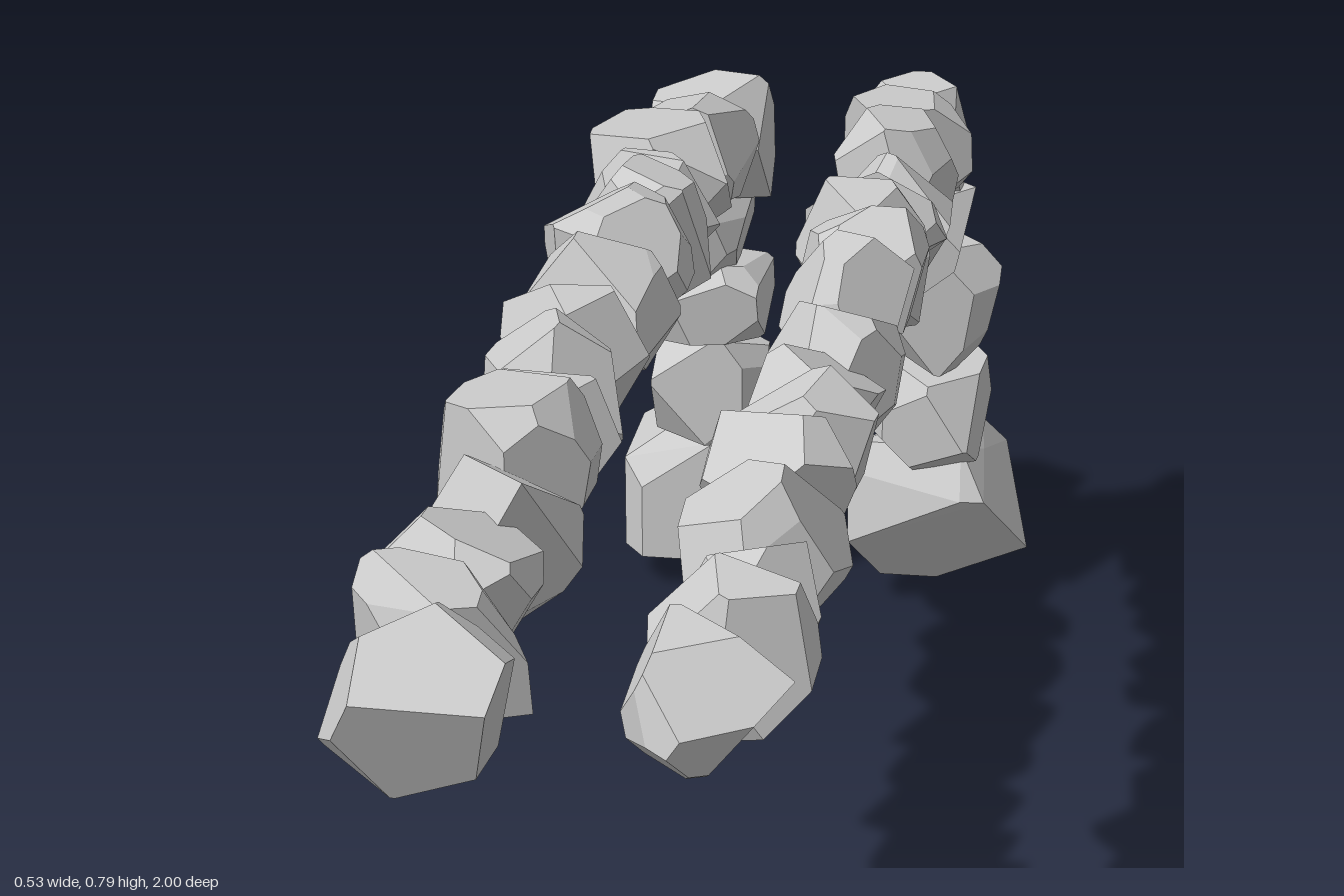
import * as THREE from 'three';
import { ConvexGeometry } from 'three/addons/geometries/ConvexGeometry.js';

const V = (x, y, z) => new THREE.Vector3(x, y, z);
const material = new THREE.MeshStandardMaterial({ color: 0xcccccc, flatShading: true });

let seed = 7;
function rand() {
  seed = (seed * 16807) % 2147483647;
  return seed / 2147483647;
}
const jitter = (a) => (rand() * 2 - 1) * a;

// Corners of a rock: a skewed cube with its corners and some edges cut off by planes
function rockCorners() {
  const planes = [];
  const cut = (x, y, z, wobble, d) => planes.push(
    new THREE.Plane(V(x + jitter(wobble), y + jitter(wobble), z + jitter(wobble)).normalize(), -d));
  for (const s of [-1, 1]) {
    cut(s, 0, 0, 0.2, 1);
    cut(0, s, 0, 0.2, 1);
    cut(0, 0, s, 0.2, 1);
    for (const t of [-1, 1]) {
      if (rand() < 0.25) cut(s, t, 0, 0.25, 1.12);
      if (rand() < 0.25) cut(s, 0, t, 0.25, 1.12);
      for (const u of [-1, 1]) if (rand() < 0.85) cut(s, t, u, 0.4, 1.05 + rand() * 0.2);
    }
  }
  // keep every meeting point of three planes that lies inside all the others
  const corners = [];
  const n = planes.length;
  for (let i = 0; i < n; i++) for (let j = i + 1; j < n; j++) for (let k = j + 1; k < n; k++) {
    const a = planes[i], b = planes[j], c = planes[k];
    const bc = b.normal.clone().cross(c.normal);
    const det = a.normal.dot(bc);
    if (Math.abs(det) < 1e-3) continue;
    const p = bc.multiplyScalar(-a.constant)
      .addScaledVector(c.normal.clone().cross(a.normal), -b.constant)
      .addScaledVector(a.normal.clone().cross(b.normal), -c.constant)
      .divideScalar(det);
    if (planes.every((q) => q.distanceToPoint(p) < 1e-5)) corners.push(p);
  }
  return corners;
}

function addHull(parent, name, points) {
  const mesh = new THREE.Mesh(new ConvexGeometry(points), material);
  mesh.name = name;
  parent.add(mesh);
}

// A rock, turned by up to the given angle, filling the given ranges
function addRock(parent, name, [x0, x1], [y0, y1], [z0, z1], turn) {
  const rotation = new THREE.Euler(jitter(turn), jitter(turn), jitter(turn));
  const points = rockCorners().map((p) => p.applyEuler(rotation));
  const box = new THREE.Box3().setFromPoints(points);
  const size = box.getSize(V(0, 0, 0));
  for (const p of points) {
    p.sub(box.min).divide(size).multiply(V(x1 - x0, y1 - y0, z1 - z0)).add(V(x0, y0, z0));
  }
  addHull(parent, name, points);
}

// Height of the rail's top and underside, sampled evenly from z = 1 to z = -0.8
const tops = [0.76, 0.75, 0.76, 0.775, 0.765, 0.755, 0.765, 0.78, 0.775, 0.765, 0.755, 0.74, 0.735, 0.735];
const unders = [0.575, 0.6, 0.595, 0.59, 0.6, 0.605, 0.61, 0.605, 0.595, 0.595, 0.595, 0.585, 0.565, 0.56];
function sample(list, z) {
  const f = THREE.MathUtils.clamp((1 - z) / 1.8, 0, 0.999) * (list.length - 1);
  const i = Math.floor(f);
  return THREE.MathUtils.lerp(list[i], list[i + 1], f - i);
}

// Row of rocks: one rock between each pair of neighbouring z values
function rail(name, zs, x0, x1) {
  const group = new THREE.Group();
  group.name = name;
  for (let i = 0; i < zs.length - 1; i++) {
    const front = i === 0 ? 0 : 0.022;
    const mid = (zs[i] + zs[i + 1]) / 2;
    addRock(group, 'railRock',
      [x0 + jitter(0.01), x1 + jitter(0.008)],
      [sample(unders, mid) + jitter(0.012), sample(tops, mid) + jitter(0.012)],
      [zs[i + 1] - 0.022, zs[i] + front], 0.8);
  }
  return group;
}

function post(name, rocks, basePoints) {
  const group = new THREE.Group();
  group.name = name;
  rocks.forEach(([x, y, z]) => addRock(group, 'postRock', x, y, z, 0.15));
  addHull(group, 'baseRock', basePoints.map((p) => V(...p)));
  return group;
}

export function createModel() {
  const model = new THREE.Group();
  model.name = 'rockRails';

  model.add(rail('rightRail',
    [1, 0.83, 0.75, 0.62, 0.485, 0.35, 0.265, 0.14, 0.045, -0.085, -0.235, -0.37, -0.465, -0.61, -0.75],
    -0.24, -0.076));
  model.add(rail('leftRail',
    [0.97, 0.82, 0.76, 0.63, 0.49, 0.36, 0.27, 0.175, 0.035, -0.085, -0.195, -0.31, -0.41, -0.54, -0.655, -0.76],
    0.037, 0.19));

  // Right post, with a blocky base chamfered on its outer side
  model.add(post('rightPost', [
    [[-0.22, -0.07], [0.55, 0.71], [-0.875, -0.73]],
    [[-0.215, -0.09], [0.44, 0.575], [-0.88, -0.74]],
    [[-0.24, -0.078], [0.335, 0.465], [-0.9, -0.75]],
    [[-0.222, -0.076], [0.21, 0.365], [-0.92, -0.76]],
  ], [
    [-0.238, 0.045, -0.78], [-0.08, 0.045, -0.78], [-0.08, 0.215, -0.79], [-0.14, 0.215, -0.78],
    [-0.238, 0.145, -0.78], [-0.267, 0.045, -0.82], [-0.267, 0.17, -0.82], [-0.205, 0.215, -0.83],
    [-0.267, 0.045, -0.975], [-0.267, 0.17, -0.975], [-0.205, 0.215, -0.95],
    [-0.11, 0.045, -0.97], [-0.08, 0.045, -0.92], [-0.08, 0.19, -0.93], [-0.11, 0.215, -0.92],
    [-0.12, 0.17, -0.97],
  ]));

  // Left post, with a large tilted base resting on one corner
  model.add(post('leftPost', [
    [[0.04, 0.175], [0.55, 0.71], [-0.875, -0.75]],
    [[0.04, 0.19], [0.445, 0.58], [-0.89, -0.73]],
    [[0.045, 0.225], [0.33, 0.5], [-0.92, -0.75]],
    [[0.048, 0.212], [0.197, 0.35], [-0.925, -0.735]],
  ], [
    [0.04, 0.1, -0.745], [0.185, 0.165, -0.745], [0.215, 0.16, -0.76], [0.265, 0.05, -0.873],
    [0.145, 0, -0.87], [0.075, 0.02, -0.826], [0.035, 0.2, -0.84], [0.035, 0.19, -0.77],
    [0.05, 0.22, -0.8], [0.18, 0.22, -0.8], [0.205, 0.19, -0.87], [0.195, 0.2, -0.955],
    [0.225, 0.15, -1], [0.24, 0.08, -0.945], [0.14, 0.15, -0.995], [0.05, 0.12, -0.92],
    [0.15, 0.22, -0.945],
  ]));
  return model;
}
